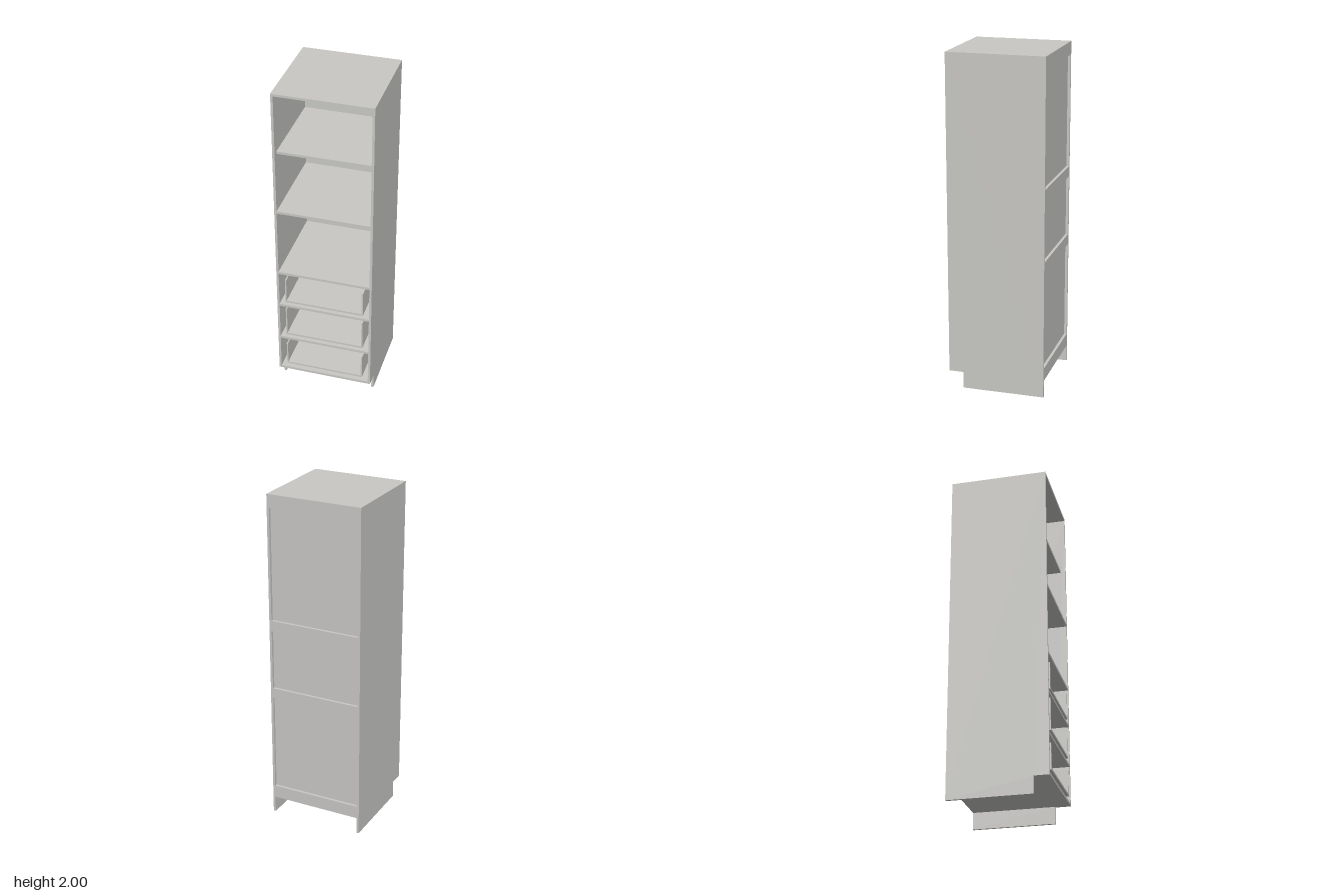
import * as THREE from 'three';

const W = 0.288, D = 0.288, H = 2, T = 0.014; // half width, half depth, height, board
const BASE = 0.1, KICK = 0.2;                 // toe-kick height and its front z
const INNER = W - T;
const PANEL_BACK = -0.272, PANEL_FRONT = -0.262;

export function createModel() {
  const cabinet = new THREE.Group();
  cabinet.name = 'tallCabinet';
  const board = new THREE.MeshStandardMaterial({ color: 0xc8c7c4 });
  board.name = 'greyBoard';

  // Box given by its limits on each axis
  function box(name, x0, x1, y0, y1, z0, z1, parent = cabinet) {
    const mesh = new THREE.Mesh(new THREE.BoxGeometry(x1 - x0, y1 - y0, z1 - z0), board);
    mesh.position.set((x0 + x1) / 2, (y0 + y1) / 2, (z0 + z1) / 2);
    mesh.name = name;
    parent.add(mesh);
    return mesh;
  }

  // Side panels with a notch for the toe kick
  const profile = new THREE.Shape([
    [-D, 0], [KICK, 0], [KICK, BASE], [D, BASE], [D, H], [-D, H],
  ].map(([z, y]) => new THREE.Vector2(z, y)));
  const sideGeometry = new THREE.ExtrudeGeometry(profile, { depth: T, bevelEnabled: false });
  sideGeometry.rotateY(-Math.PI / 2);
  for (const [name, x] of [['leftSide', W], ['rightSide', -INNER]]) {
    const side = new THREE.Mesh(sideGeometry, board);
    side.name = name;
    side.position.x = x;
    cabinet.add(side);
  }

  // Top, bottom and fixed dividers
  box('topBoard', -INNER, INNER, H - T, H, -D, D);
  box('bottomBoard', -INNER, INNER, BASE, BASE + 0.016, PANEL_FRONT, D);
  [0.334, 0.58, 0.815, 1.239].forEach((y, i) =>
    box(`divider${i + 1}`, -INNER, INNER, y, y + 0.015, PANEL_FRONT, D));

  // Loose upper shelf, set back from the front
  box('upperShelf', -INNER, INNER, 1.615, 1.63, PANEL_FRONT, 0.258);

  // Recessed back panel with flush rails across it
  box('backPanel', -INNER, INNER, BASE, H - T, PANEL_BACK, PANEL_FRONT);
  [[BASE, 0.178], [0.765, 0.829], [1.19, 1.254], [1.922, H - T]].forEach(([y0, y1], i) =>
    box(`backRail${i + 1}`, -INNER, INNER, y0, y1, -D, PANEL_BACK));

  // Drawer boxes, open at the top and front
  const half = 0.237, wall = 0.008, back = -0.24;
  [[0.144, 0.298], [0.372, 0.563], [0.616, 0.776]].forEach(([y0, y1], i) => {
    const drawer = new THREE.Group();
    drawer.name = `drawer${i + 1}`;
    box('drawerFloor', -half + wall, half - wall, y0, y0 + 0.011, back, D, drawer);
    box('drawerLeftSide', half - wall, half, y0, y1, back, D, drawer);
    box('drawerRightSide', -half, -half + wall, y0, y1, back, D, drawer);
    box('drawerBack', -half + wall, half - wall, y0 + 0.011, y1, back, back + wall, drawer);
    cabinet.add(drawer);
  });

  return cabinet;
}
